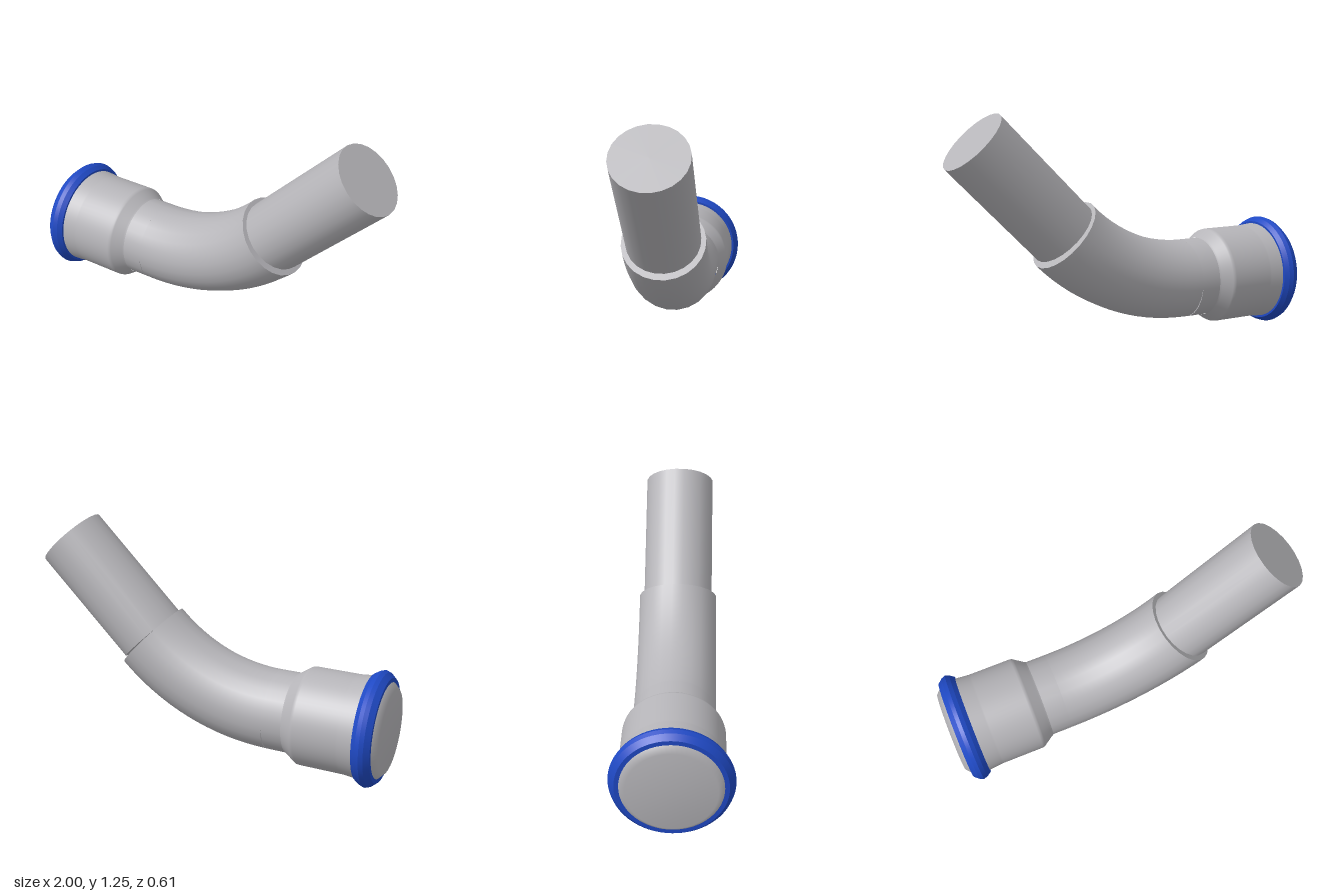
import * as THREE from 'three';

const AXIS_Y = 0.308;   // height of the straight axis
const PIPE_R = 0.217;
const SIDES = 24;
const BEND_X = -0.37;   // where the bend starts
const BEND_R = 1.04;    // centre line radius
const DEG = Math.PI / 180;

export function createModel() {
  const model = new THREE.Group();
  const steel = new THREE.MeshStandardMaterial({ name: 'pipe grey', color: 0xb6b5b9 });
  const blue = new THREE.MeshStandardMaterial({ name: 'seal blue', color: 0x1f49c4 });

  const add = (name, geometry, material) => {
    const mesh = new THREE.Mesh(geometry, material);
    mesh.name = name;
    model.add(mesh);
    return mesh;
  };

  // Turned part along x, from [x, radius] pairs
  const turned = (name, profile, material) => {
    const points = profile.map(([x, r]) => new THREE.Vector2(r, x));
    const mesh = add(name, new THREE.LatheGeometry(points, 64), material);
    mesh.rotation.z = -Math.PI / 2;
    mesh.position.y = AXIS_Y;
    return mesh;
  };

  // Closed straight pipe starting at (x, y) and leaning at an angle
  const pipe = (name, x, y, angle, radius, length) => {
    const geometry = new THREE.CylinderGeometry(radius, radius, length, SIDES);
    geometry.rotateY(Math.PI / SIDES);
    const mesh = add(name, geometry, steel);
    mesh.rotation.z = angle - Math.PI / 2;
    mesh.position.set(x + Math.cos(angle) * length / 2, y + Math.sin(angle) * length / 2, 0);
  };

  // Socket: closed mouth, wide body and taper
  turned('socketMouth', [[-1, 0], [-1, 0.222], [-0.965, 0.26]], steel);
  turned('socketBody', [
    [-0.9, 0.272], [-0.865, 0.27], [-0.8, 0.264], [-0.79, 0.264], [-0.56, 0.264], [-0.548, 0.262],
    [-0.54, 0.257], [-0.49, 0.223], [-0.48, 0.218],
  ], steel);

  // Bevelled seal ring around the mouth
  const ring = [[-0.972, 0.25], [-0.972, 0.275], [-0.945, 0.299], [-0.923, 0.307],
    [-0.9, 0.299], [-0.876, 0.282], [-0.876, 0.25]];
  for (let i = 0; i < ring.length - 1; i++) {
    turned('sealRing', [ring[i], ring[i + 1]], blue);
  }

  // Short straight neck
  pipe('neck', -0.56, AXIS_Y, 0, PIPE_R, 0.19);

  // Bend: a closed cylinder curved along an arc, its end faces slightly tilted
  const bend = new THREE.CylinderGeometry(PIPE_R, PIPE_R, 1, SIDES, 16);
  bend.rotateY(Math.PI / SIDES);
  const pos = bend.attributes.position;
  const nor = bend.attributes.normal;
  for (let i = 0; i < pos.count; i++) {
    const t = pos.getY(i) + 0.5;
    const arc = 45 * DEG * t;
    const face = (2.5 + 39.8 * t) * DEG;
    const s = Math.sin(face), c = Math.cos(face);
    const px = pos.getX(i), nx = nor.getX(i), ny = nor.getY(i);
    pos.setXY(i, BEND_X + BEND_R * Math.sin(arc) + px * s,
      AXIS_Y + BEND_R * (1 - Math.cos(arc)) - px * c);
    nor.setXY(i, nx * s + ny * c, -nx * c + ny * s);
  }
  add('bend', bend, steel);

  // Narrow spigot leaving the bend
  pipe('spigot', 0.37, 0.62, 45 * DEG, 0.192, 0.697);

  return model;
}
